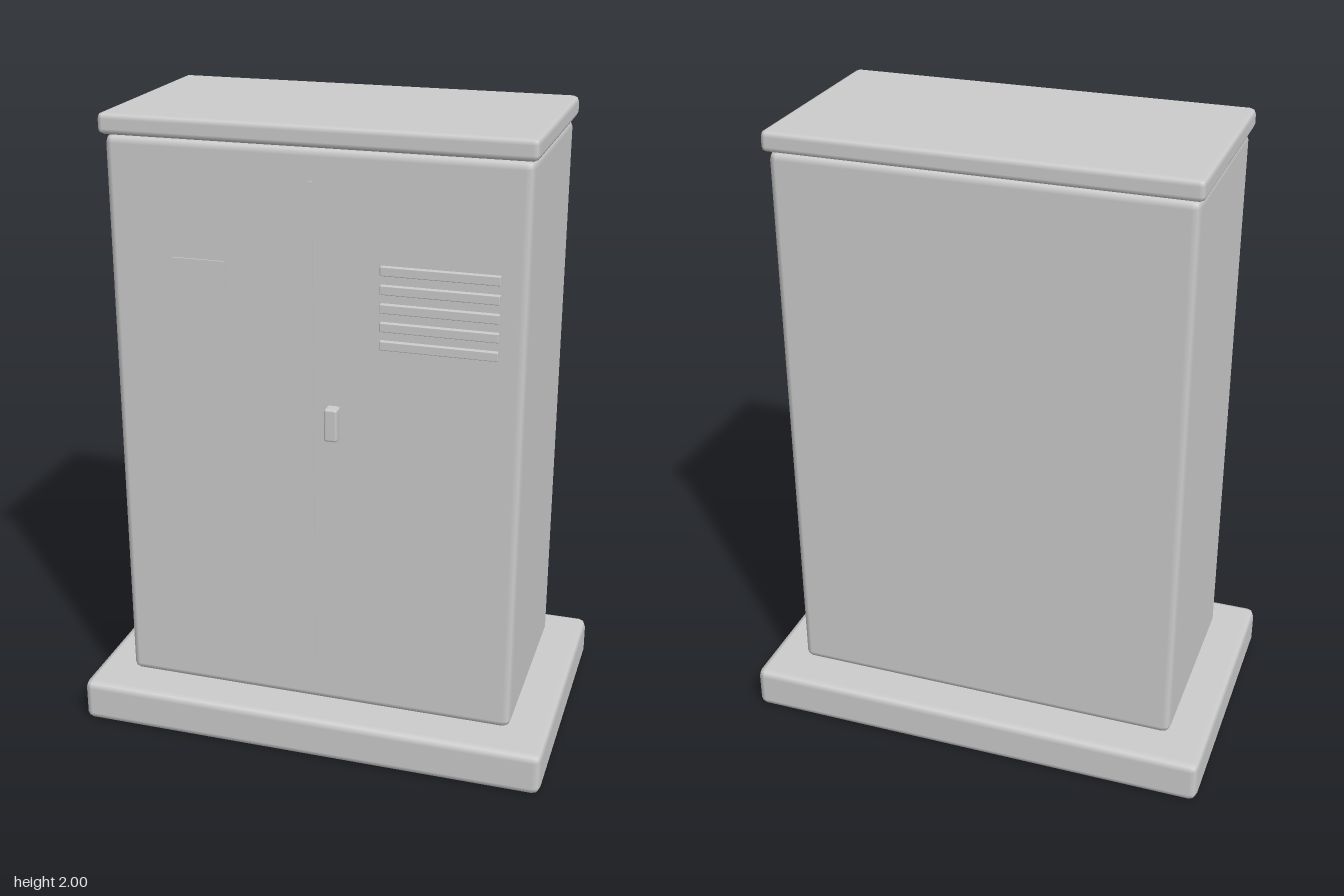
import * as THREE from 'three';
import { RoundedBoxGeometry } from 'three/addons/geometries/RoundedBoxGeometry.js';

export function createModel() {
  const group = new THREE.Group();
  const material = new THREE.MeshStandardMaterial({ color: 0xcccccc });

  // Adds a box given by its limits, with softened edges when bevel > 0
  function addBox(name, [x0, x1], [y0, y1], [z0, z1], bevel = 0) {
    const size = [x1 - x0, y1 - y0, z1 - z0];
    const geometry = bevel > 0
      ? new RoundedBoxGeometry(...size, 1, bevel)
      : new THREE.BoxGeometry(...size);
    const mesh = new THREE.Mesh(geometry, material);
    mesh.name = name;
    mesh.position.set((x0 + x1) / 2, (y0 + y1) / 2, (z0 + z1) / 2);
    group.add(mesh);
  }

  // Plinth, cabinet and roof
  addBox('plinth', [-0.76, 0.76], [0, 0.14], [-0.456, 0.456], 0.025);
  addBox('cabinetBody', [-0.637, 0.637], [0.14, 1.935], [-0.33, 0.33], 0.025);
  addBox('roof', [-0.65, 0.65], [1.935, 2], [-0.345, 0.345], 0.018);

  // Door details
  addBox('doorSeam', [-0.005, 0.005], [0.245, 1.84], [0.32, 0.338]);
  addBox('doorHandle', [0.045, 0.087], [1.06, 1.165], [0.325, 0.368], 0.008);
  addBox('signPlate', [-0.432, -0.266], [1.474, 1.582], [0.32, 0.335]);

  // Ventilation slats
  for (let i = 0; i < 5; i++) {
    const y = 1.372 + i * 0.056;
    addBox('ventSlat' + (i + 1), [0.208, 0.558], [y - 0.014, y + 0.014], [0.32, 0.344], 0.003);
  }

  return group;
}
